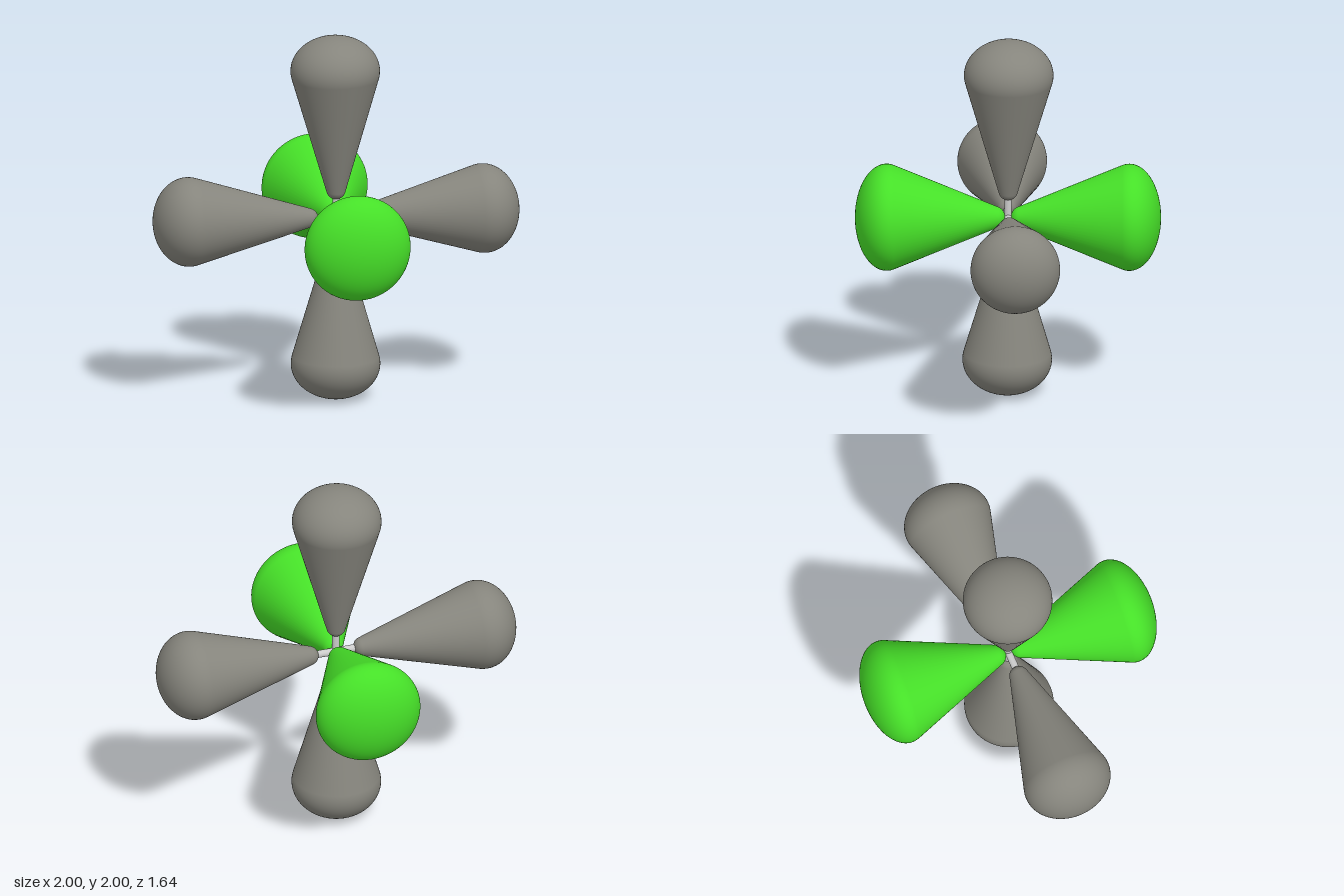
import * as THREE from 'three';

const greyMat = new THREE.MeshStandardMaterial({ color: 0x86857d });
const greenMat = new THREE.MeshStandardMaterial({ color: 0x46e028 });
const rodMat = new THREE.MeshStandardMaterial({ color: 0xcccccc });

const UP = new THREE.Vector3(0, 1, 0);
const CENTRE = new THREE.Vector3(-0.005, 1.0, -0.01);

// Teardrop along +y: small rounded tip, straight cone, elliptical cap.
function lobeGeometry({ tipStart, tipRadius, radius, widest, end }) {
  const points = [];
  for (let i = 0; i <= 8; i++) {
    const a = -Math.PI / 2 + (i / 8) * (Math.PI / 2 - 0.27);
    points.push(new THREE.Vector2(tipRadius * Math.cos(a), tipStart + tipRadius * (1 + Math.sin(a))));
  }
  const capHeight = end - widest;
  for (let i = 0; i <= 24; i++) {
    const a = -0.22 + (i / 24) * (Math.PI / 2 + 0.22);
    points.push(new THREE.Vector2(Math.max(0, radius * Math.cos(a)), widest + capHeight * Math.sin(a)));
  }
  points[0].x = 0;
  return new THREE.LatheGeometry(points, 64);
}

// Turns a part built along +y so that it points from the centre along dir.
function aim(mesh, dir) {
  mesh.position.copy(CENTRE);
  mesh.quaternion.setFromUnitVectors(UP, dir.clone().normalize());
  return mesh;
}

export function createModel() {
  const group = new THREE.Group();

  const greyLobe = lobeGeometry({ tipStart: 0.1, tipRadius: 0.052, radius: 0.24, widest: 0.81, end: 1.0 });
  const greenLobe = lobeGeometry({ tipStart: 0.015, tipRadius: 0.06, radius: 0.287, widest: 0.65, end: 0.82 });

  // Six lobes, each leaning very slightly off its axis
  const lobes = [
    ['topLobe', greyLobe, greyMat, [-0.005, 1, -0.005]],
    ['bottomLobe', greyLobe, greyMat, [-0.005, -1, 0.005]],
    ['leftLobe', greyLobe, greyMat, [1, 0, -0.01]],
    ['rightLobe', greyLobe, greyMat, [-1, 0.025, 0]],
    ['frontLobe', greenLobe, greenMat, [-0.04, 0, 1]],
    ['backLobe', greenLobe, greenMat, [0.04, 0, -1]],
  ];
  for (const [name, geometry, material, dir] of lobes) {
    const lobe = aim(new THREE.Mesh(geometry, material), new THREE.Vector3(...dir));
    lobe.name = name;
    group.add(lobe);
  }

  // Thin rods joining the inner tips of the grey lobes
  const rodGeometry = new THREE.CylinderGeometry(0.02, 0.02, 0.28, 24);
  for (const [name, dir] of [['uprightRod', [0, 1, 0]], ['crossRod', [1, -0.01, 0]]]) {
    const rod = aim(new THREE.Mesh(rodGeometry, rodMat), new THREE.Vector3(...dir));
    rod.name = name;
    group.add(rod);
  }

  return group;
}
